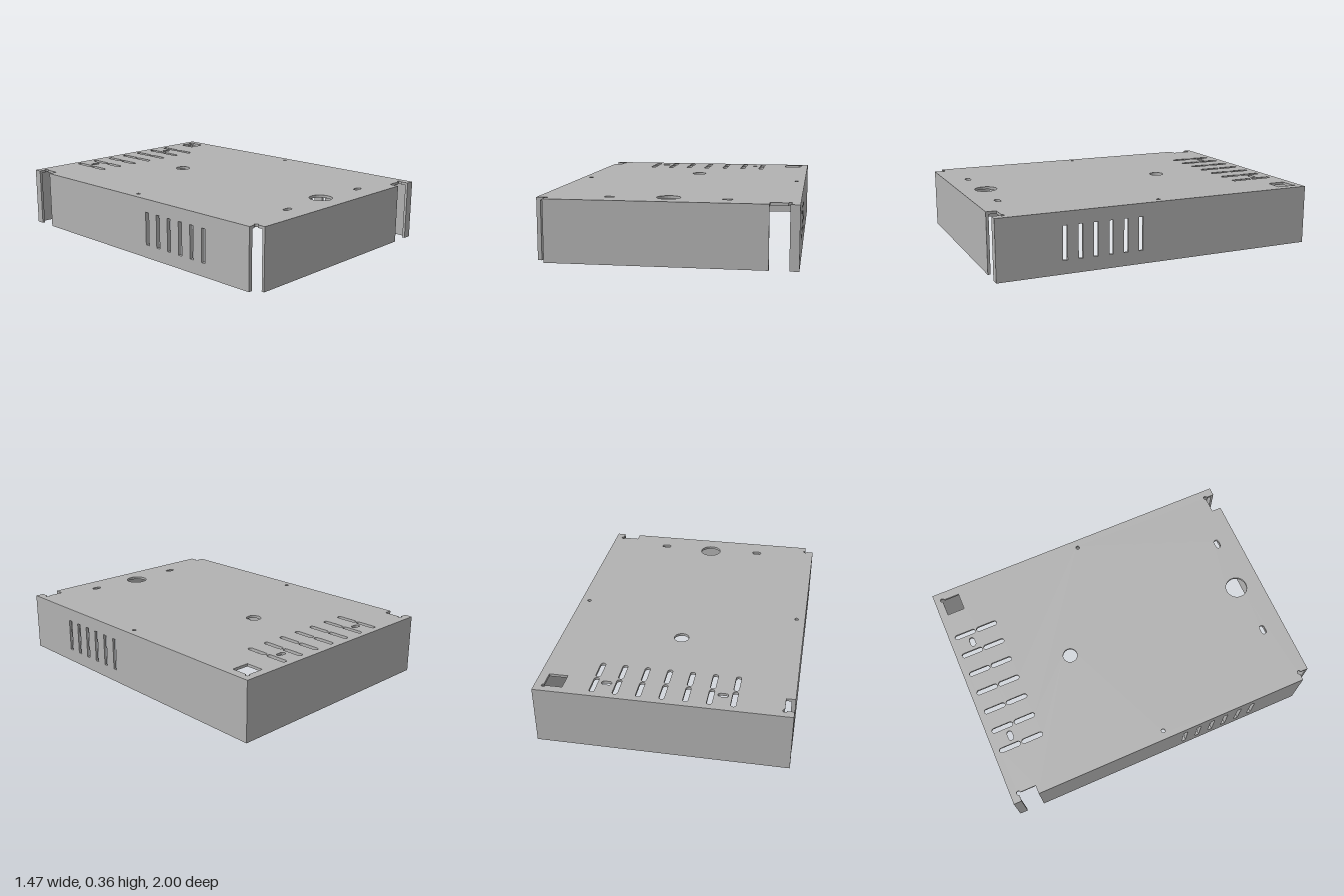
import * as THREE from 'three';

const W = 0.733, H = 0.36, T = 0.016, SIDE = 0.0235;

// Slot with round ends, lying along x or y
function slot(cx, cy, w, h) {
  const p = new THREE.Path();
  const r = Math.min(w, h) / 2;
  if (h > w) {
    const d = h / 2 - r;
    p.absarc(cx, cy + d, r, 0, Math.PI);
    p.absarc(cx, cy - d, r, Math.PI, Math.PI * 2);
  } else {
    const d = w / 2 - r;
    p.absarc(cx + d, cy, r, -Math.PI / 2, Math.PI / 2);
    p.absarc(cx - d, cy, r, Math.PI / 2, Math.PI * 1.5);
  }
  p.closePath();
  return p;
}

function circle(cx, cy, r) {
  const p = new THREE.Path();
  p.absarc(cx, cy, r, 0, Math.PI * 2);
  return p;
}

function rect(Type, x0, y0, x1, y1) {
  return new Type([[x0, y0], [x1, y0], [x1, y1], [x0, y1]].map(([x, y]) => new THREE.Vector2(x, y)));
}

const extrude = (shape, depth) =>
  new THREE.ExtrudeGeometry(shape, { depth, bevelEnabled: false, curveSegments: 12 });

export function createModel() {
  const group = new THREE.Group();
  const steel = new THREE.MeshStandardMaterial({ color: 0xb2b2b2 });
  steel.name = 'grey sheet metal';

  const add = (name, geometry, x = 0, y = 0, z = 0) => {
    const mesh = new THREE.Mesh(geometry, steel);
    mesh.name = name;
    mesh.position.set(x, y, z);
    group.add(mesh);
    return mesh;
  };
  const addBox = (name, x0, x1, z0, z1) =>
    add(name, new THREE.BoxGeometry(x1 - x0, H - T, z1 - z0), (x0 + x1) / 2, (H - T) / 2, (z0 + z1) / 2);

  // Top plate outline (x, z) with corner notches and round bend reliefs
  const N = 0.68, G = 0.57, F = 0.94, B = -0.95, C = -0.84, R = 0.012, Q = Math.PI / 2;
  const plate = new THREE.Shape();
  plate.moveTo(-W, -1);
  plate.lineTo(W, -1);
  plate.lineTo(W, 1);
  plate.lineTo(N, 1);
  plate.absarc(N, F, R, Q, -2 * Q, true);
  plate.lineTo(G, F);
  plate.lineTo(G, 1);
  plate.lineTo(-N, 1);
  plate.absarc(-N, F, R, Q, -2 * Q, true);
  plate.lineTo(-W, F);
  plate.lineTo(-W, C);
  plate.lineTo(-N, C);
  plate.absarc(-N, B, R, Q, -2 * Q, true);
  plate.lineTo(-W, B);
  plate.closePath();

  // Square corner cut-out with its relief
  const cut = new THREE.Path();
  cut.moveTo(G, C);
  cut.lineTo(N, C);
  cut.absarc(N, B, R, Q, -2 * Q, true);
  cut.lineTo(G, B);
  cut.closePath();
  plate.holes.push(cut);

  // Vents, mounting slots, cable holes
  for (let i = -3; i <= 3; i++) {
    for (const z of [-0.895, -0.75]) plate.holes.push(slot(i * 0.133, z, 0.03, 0.135));
  }
  for (const s of [-1, 1]) {
    plate.holes.push(slot(s * 0.333, -0.869, 0.06, 0.032));
    plate.holes.push(slot(s * 0.333, 0.862, 0.06, 0.032));
    plate.holes.push(circle(s * N, 0, R));
  }
  plate.holes.push(circle(0, -0.335, 0.045), circle(0, 0.838, 0.068));
  add('topPlate', extrude(plate, T).rotateX(Math.PI / 2), 0, H, 0);

  // Side walls with ventilation slots; shape x is -z
  const sideWall = (name, zBack, zFront, x, depth) => {
    const shape = rect(THREE.Shape, -zFront, 0, -zBack, H - T);
    for (let i = 0; i < 6; i++) {
      const c = -(0.136 + i * 0.093);
      shape.holes.push(rect(THREE.Path, c - 0.0135, 0.08, c + 0.0135, 0.28));
    }
    add(name, extrude(shape, depth).rotateY(Math.PI / 2), x, 0, 0);
  };
  sideWall('rightWall', -1, 1, W - T, T);
  sideWall('leftWall', C, F, -W, SIDE);

  // End walls and the narrow return flanges at two corners
  addBox('backWall', -W, W - T, -1, -1 + T);
  addBox('frontWall', -N, G, 1 - T, 1);
  addBox('frontFlange', N, W - T, 1 - T, 1);
  addBox('backFlange', -W, -W + T, -1 + T, B);

  // Four small hollow standoffs under the plate
  const ring = new THREE.Shape();
  ring.absarc(0, 0, 0.033, 0, Math.PI * 2);
  ring.holes.push(circle(0, 0, 0.02));
  const standoff = extrude(ring, 0.055).rotateX(Math.PI / 2);
  for (const x of [-0.27, 0.27]) {
    for (const z of [0.38, 0.7]) add('standoff', standoff, x, H - T, z);
  }
  return group;
}
